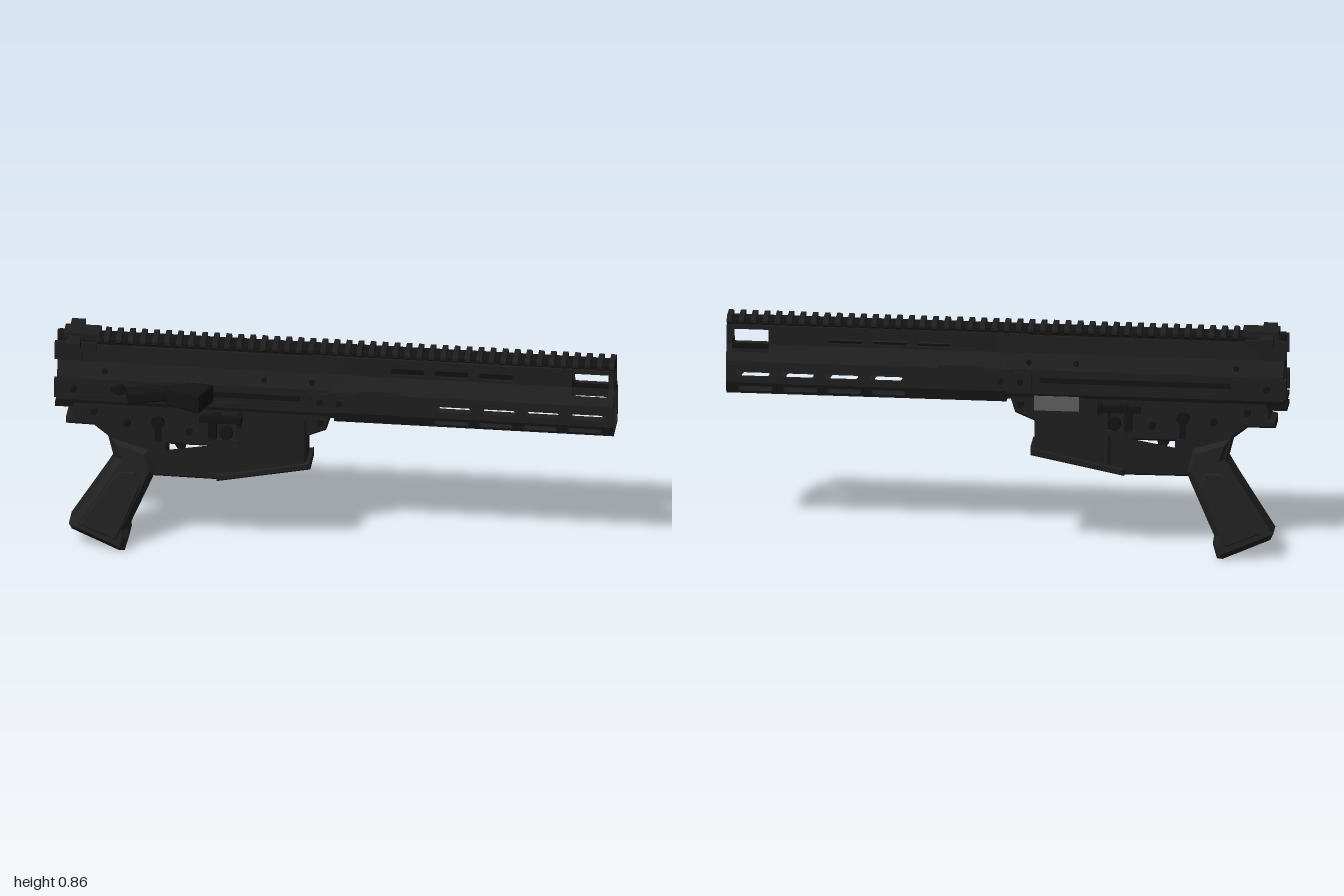
import * as THREE from 'three';

const paint = (name, color) => {
  const m = new THREE.MeshStandardMaterial({ color });
  m.name = name;
  return m;
};

export function createModel() {
  const model = new THREE.Group();
  model.name = 'receiverAssembly';
  const body = new THREE.Group();
  body.name = 'body';
  body.position.z = -0.03; // the handle sticks out on +z, so the body sits off centre
  model.add(body);

  const shell = paint('matte black', 0x1e1e1e);
  const polymer = paint('grip polymer', 0x222222);
  const dark = paint('deep black', 0x131313);
  const steel = paint('steel grey', 0x5c5c5c);

  const add = (name, geo, mat, x = 0, y = 0, z = 0) => {
    const m = new THREE.Mesh(geo, mat);
    m.name = name;
    m.position.set(x, y, z);
    body.add(m);
    return m;
  };
  const box = (name, mat, x0, x1, y0, y1, z0, z1) =>
    add(name, new THREE.BoxGeometry(x1 - x0, y1 - y0, z1 - z0), mat, (x0 + x1) / 2, (y0 + y1) / 2, (z0 + z1) / 2);
  const pair = (name, mat, x0, x1, y0, y1, z0, z1) => {
    box(name, mat, x0, x1, y0, y1, z0, z1);
    box(name, mat, x0, x1, y0, y1, -z1, -z0);
  };
  const poly = (pts) => new THREE.Shape(pts.map((p) => new THREE.Vector2(...p)));
  // side profile in x,y extruded symmetrically in z with a chamfer
  const slab = (name, mat, pts, half, bevel = 0.01, hole = null) => {
    const s = poly(pts);
    if (hole) s.holes.push(poly(hole));
    const g = new THREE.ExtrudeGeometry(s, {
      depth: 2 * (half - bevel), bevelEnabled: bevel > 0, bevelSize: bevel,
      bevelOffset: -bevel, bevelThickness: bevel, bevelSegments: 1, curveSegments: 6 });
    g.translate(0, 0, bevel - half);
    return add(name, g, mat);
  };
  // pins that cross the body from side to side
  const pin = (name, x, y, r, half, mat = dark) => {
    const m = add(name, new THREE.CylinderGeometry(r, r, 2 * half, 14), mat, x, y, 0);
    m.rotation.x = Math.PI / 2;
  };
  // cross-section given as z,y and extruded along x
  const tube = (name, mat, pts, hole, x0, x1) => {
    const s = poly(pts.map(([z, y]) => [-z, y]));
    if (hole) s.holes.push(poly(hole));
    const g = new THREE.ExtrudeGeometry(s, { depth: x1 - x0, bevelEnabled: false });
    g.rotateY(Math.PI / 2);
    return add(name, g, mat, x0, 0, 0);
  };
  const mirror = (half) => [...half, ...half.map(([z, y]) => [-z, y]).reverse()];

  // upper receiver: hollow tube with a shoulder, plus raised side rails
  tube('upperReceiver', shell,
    mirror([[0.044, 0.82], [0.046, 0.755], [0.068, 0.7], [0.068, 0.61], [0.055, 0.585]]),
    [[-0.057, 0.61], [0.057, 0.61], [0.057, 0.69], [0.03, 0.72], [-0.03, 0.72]], -0.99, 0.04);
  pair('receiverSideRail', shell, -0.97, 0.06, 0.615, 0.635, 0.066, 0.073);
  pair('receiverSideRail', shell, -0.97, -0.4, 0.685, 0.7, 0.066, 0.073);
  pair('receiverFrontPlate', shell, -0.09, 0.06, 0.62, 0.69, 0.066, 0.076);
  pair('handleSlot', dark, -0.8, -0.12, 0.652, 0.672, 0.064, 0.07);
  pair('rearCap', shell, -1, -0.975, 0.62, 0.69, 0.05, 0.075);
  pair('rearCapTop', shell, -1, -0.9, 0.76, 0.8, 0.04, 0.05);
  for (const x of [-0.93, -0.05, 0.02]) pin('receiverScrew', x, 0.655, 0.012, 0.079);
  for (const x of [-0.82, -0.25, -0.08]) pin('receiverScrew', x, 0.725, 0.01, 0.064);

  // handguard plates, ordered around the section so each is thickened inwards
  const T = 0.01;
  const plate = (p, q, x0, x1, holes = []) => {
    const dz = q[0] - p[0], dy = q[1] - p[1], len = Math.hypot(dz, dy);
    const s = poly([[x0, 0], [x1, 0], [x1, len], [x0, len]]);
    for (const [a, b, c, d] of holes) {
      const k = Math.min(0.007, (d - c) * 0.4);
      s.holes.push(poly([[a + k, c], [b - k, c], [b, c + k], [b, d - k], [b - k, d], [a + k, d], [a, d - k], [a, c + k]]));
    }
    const g = new THREE.ExtrudeGeometry(s, { depth: T, bevelEnabled: false });
    const S = new THREE.Vector3(0, dy / len, dz / len), X = new THREE.Vector3(1, 0, 0);
    g.applyMatrix4(new THREE.Matrix4().makeBasis(X, S, new THREE.Vector3().crossVectors(X, S)).setPosition(0, p[1], p[0]));
    add('handguardPlate', g, shell);
  };
  const A = [0.044, 0.825], W = [0.044, 0.81], B = [0.044, 0.755], V = [0.06, 0.73], C = [0.078, 0.7], D = [0.078, 0.62], E = [0.056, 0.574];
  const slots = (x, n, c, d) => Array.from({ length: n }, (_, i) => [x + i * 0.158, x + i * 0.158 + 0.122, c, d]);
  const sides = [
    [A, W, -0.08, 1], [W, B, 0.04, 0.85, slots(0.2, 3, 0.02, 0.045)], [W, B, 0.98, 1],
    [B, V, 0.02, 0.85], [B, V, 0.98, 1], [V, C, 0, 1],
    [C, D, -0.02, 1, slots(0.37, 4, 0.035, 0.056)], [D, E, 0, 1, slots(0.36, 4, 0.015, 0.038)]];
  const flip = ([z, y]) => [-z, y];
  for (const [p, q, x0, x1, holes = []] of sides) {
    plate(p, q, x0, x1, holes);
    const len = Math.hypot(q[0] - p[0], q[1] - p[1]);
    plate(flip(q), flip(p), x0, x1, holes.map(([a, b, c, d]) => [a, b, len - d, len - c]));
  }
  plate(E, flip(E), 0, 1, [...slots(0.36, 4, 0.042, 0.07), [0.14, 0.25, 0.03, 0.082]]);
  box('handguardRoof', shell, 0, 1, 0.812, 0.825, -0.04, 0.04);
  pair('handguardStep', shell, 0.08, 0.24, 0.7, 0.712, 0.066, 0.08);

  // steel lug under the handguard and toothed barrel nut inside
  for (let i = 0; i < 3; i++) box('gasLug', steel, 0.13 + i * 0.04, 0.165 + i * 0.04, 0.572, 0.605, -0.028, 0.028);
  box('gasLugCore', steel, 0.13, 0.25, 0.58, 0.61, -0.022, 0.022);
  const nut = add('barrelNut', new THREE.CylinderGeometry(0.029, 0.029, 0.1, 20), steel, 0.06, 0.66, 0);
  nut.rotation.z = Math.PI / 2;
  for (let i = 0; i < 9; i++) {
    const a = (i / 9) * Math.PI * 2;
    const t = add('nutTooth', new THREE.BoxGeometry(0.1, 0.014, 0.012), steel, 0.06, 0.66 + 0.031 * Math.cos(a), 0.031 * Math.sin(a));
    t.rotation.x = a;
  }
  const bore = add('bore', new THREE.CylinderGeometry(0.012, 0.012, 0.004, 16), dark, 0.112, 0.66, 0);
  bore.rotation.z = Math.PI / 2;

  // top rail with its teeth
  box('railBase', dark, -0.99, 1, 0.815, 0.84, -0.034, 0.034);
  for (let i = 0; i < 43; i++) {
    const x = -0.825 + i * 0.043;
    tube('railTooth', shell, mirror([[0.036, 0.855], [0.044, 0.844], [0.044, 0.834], [0.032, 0.822]]), null, x, x + 0.019);
  }

  // folded rear sight
  box('rearSightBase', shell, -0.97, -0.84, 0.83, 0.86, -0.034, 0.034);
  box('rearSightBar', shell, -0.95, -0.91, 0.828, 0.848, -0.085, 0.085);
  pair('rearSightKnob', shell, -0.955, -0.905, 0.818, 0.85, 0.065, 0.097);
  pair('railClamp', shell, -1, -0.85, 0.8, 0.83, 0.038, 0.05);

  // lower receiver with trigger opening
  slab('lowerReceiver', shell, [[-0.93, 0.61], [-0.94, 0.535], [-0.96, 0.53], [-0.96, 0.502], [-0.86, 0.5], [-0.81, 0.46],
    [-0.79, 0.38], [-0.66, 0.31], [-0.42, 0.308], [-0.3, 0.34], [-0.1, 0.5], [-0.03, 0.53], [-0.005, 0.61]], 0.05, 0.008,
  [[-0.6, 0.35], [-0.58, 0.325], [-0.4, 0.325], [-0.38, 0.35], [-0.38, 0.4], [-0.41, 0.44], [-0.6, 0.44]]);
  slab('magazineWell', shell, [[-0.37, 0.59], [-0.37, 0.33], [-0.1, 0.385], [-0.1, 0.59]], 0.058, 0.008);
  slab('magazineWellLip', shell, [[-0.42, 0.335], [-0.42, 0.308], [-0.085, 0.375], [-0.085, 0.405]], 0.063, 0.006);
  slab('magazineOpening', dark, [[-0.34, 0.33], [-0.34, 0.321], [-0.12, 0.365], [-0.12, 0.374]], 0.042, 0);
  pair('lowerTopRail', shell, -0.93, -0.02, 0.575, 0.608, 0.045, 0.06);
  slab('trigger', dark, [[-0.575, 0.46], [-0.575, 0.42], [-0.555, 0.39], [-0.56, 0.35], [-0.545, 0.335], [-0.54, 0.39], [-0.53, 0.46]], 0.012, 0.003);
  for (const y of [0.575, 0.61]) box('rearRod', dark, -1, -0.92, y - 0.009, y + 0.009, -0.04, 0.04);

  // port with visible steel on the -z side
  box('portFrame', shell, -0.28, -0.08, 0.538, 0.612, -0.062, -0.05);
  box('portPlate', steel, -0.26, -0.1, 0.548, 0.602, -0.068, -0.06);

  // controls on both sides
  for (const s of [1, -1]) {
    const lever = add('selectorLever', new THREE.BoxGeometry(0.022, 0.085, 0.014), dark, -0.63, 0.5, s * 0.062);
    lever.rotation.z = 0.05;
  }
  pin('selectorHub', -0.63, 0.53, 0.024, 0.066);
  pin('magazineButton', -0.385, 0.505, 0.024, 0.072);
  pair('magazineButtonFence', shell, -0.43, -0.34, 0.465, 0.48, 0.048, 0.068);
  pair('boltCatch', dark, -0.48, -0.33, 0.55, 0.575, 0.05, 0.078);
  pair('boltCatchArm', dark, -0.45, -0.42, 0.48, 0.56, 0.05, 0.07);
  pair('boltCatchPaddle', dark, -0.342, -0.328, 0.552, 0.59, 0.06, 0.11);
  pair('boltCatchPaddle', dark, -0.435, -0.405, 0.555, 0.585, 0.06, 0.09);
  for (const [x, y] of [[-0.86, 0.56], [-0.74, 0.52], [-0.52, 0.5], [-0.05, 0.565]]) pin('receiverPin', x, y, 0.013, 0.064);

  // pistol grip with raised side panels
  slab('pistolGrip', polymer, [[-0.8, 0.46], [-0.78, 0.38], [-0.82, 0.31], [-0.95, 0.1], [-0.94, 0.08], [-0.77, 0.003],
    [-0.75, 0.005], [-0.735, 0.06], [-0.74, 0.09], [-0.66, 0.28], [-0.64, 0.33], [-0.66, 0.42]], 0.067, 0.022);
  slab('gripPanel', polymer, [[-0.77, 0.33], [-0.8, 0.29], [-0.91, 0.11], [-0.78, 0.055], [-0.69, 0.28], [-0.71, 0.33]], 0.071, 0.004);

  // angled charging handle on the +z side, drawn in plan
  const planPart = (name, pts, y0, y1) => {
    const b = 0.008;
    const g = new THREE.ExtrudeGeometry(poly(pts.map(([x, z]) => [x, -z])), {
      depth: y1 - y0 - 2 * b, bevelEnabled: true, bevelSize: b, bevelOffset: -b, bevelThickness: b, bevelSegments: 2 });
    g.rotateX(-Math.PI / 2);
    add(name, g, dark, 0, y0 + b, 0);
  };
  planPart('chargingHandleBar', [[-0.74, 0.1], [-0.725, 0.155], [-0.5, 0.085], [-0.5, 0.065], [-0.62, 0.065]], 0.645, 0.69);
  planPart('chargingHandleGrip', [[-0.6, 0.11], [-0.485, 0.165], [-0.47, 0.165], [-0.43, 0.07], [-0.52, 0.065]], 0.63, 0.705);
  const knob = add('chargingHandlePivot', new THREE.CylinderGeometry(0.02, 0.02, 0.02, 16), dark, -0.765, 0.665, 0.074);
  knob.rotation.x = Math.PI / 2;

  return model;
}
